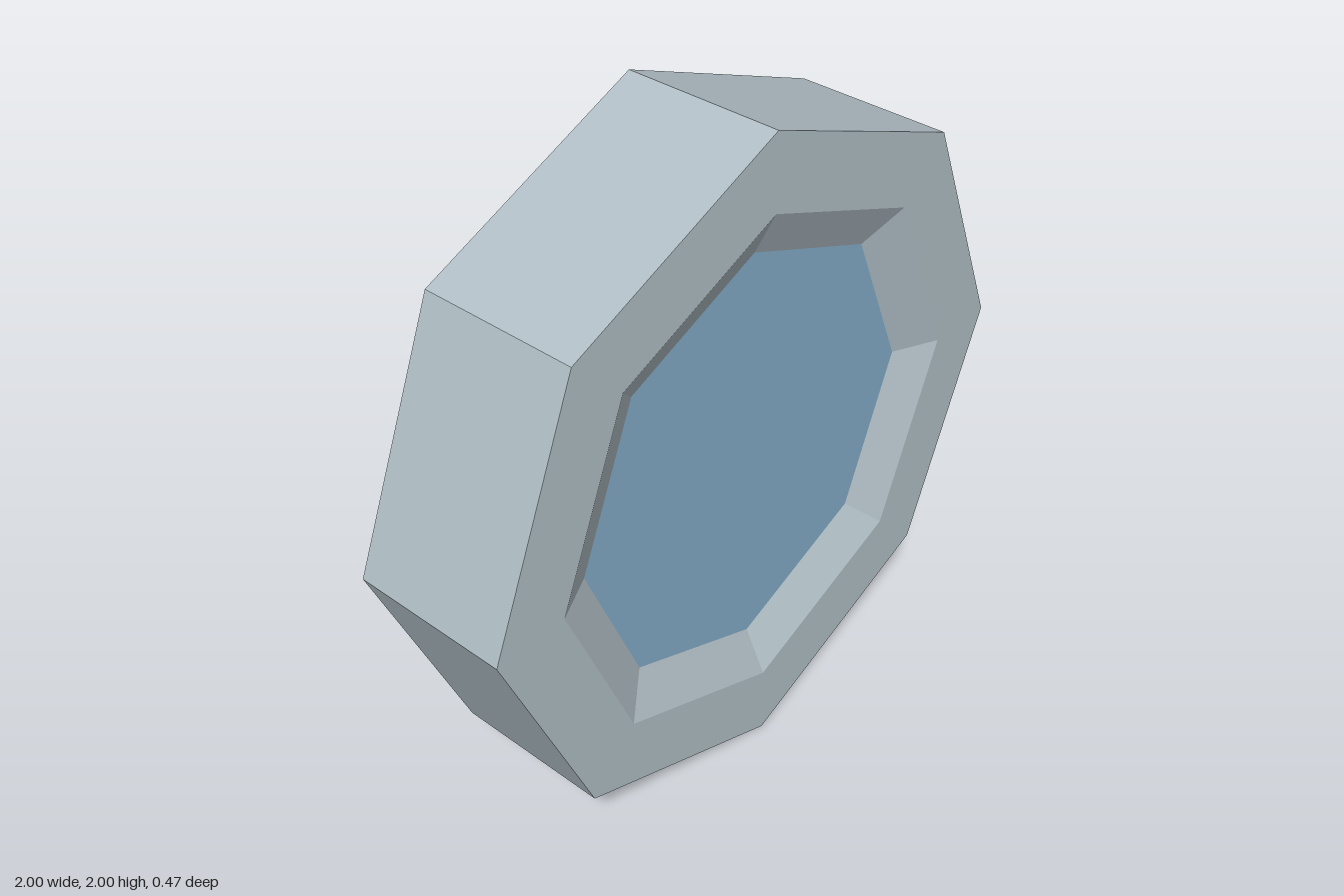
import * as THREE from 'three';

const SIDES = 8;
const HALF_DEPTH = 0.237; // frame half thickness
const GLASS_Z = 0.172;    // pane surface, recessed from the frame face
const OUTER = 1, RIM = 0.775, PANE = 0.64;

const frameGrey = new THREE.MeshStandardMaterial({ color: 0xb0bec5 });
frameGrey.name = 'frameGrey';
const glassBlue = new THREE.MeshStandardMaterial({ color: 0x83abc6 });
glassBlue.name = 'glassBlue';

// Turn a part built around y to face z, with one flat normal per facet
function facetedPart(name, geometry, material) {
  const flat = geometry.toNonIndexed().rotateX(Math.PI / 2);
  flat.computeVertexNormals();
  const mesh = new THREE.Mesh(flat, material);
  mesh.name = name;
  mesh.position.y = OUTER;
  return mesh;
}

export function createModel() {
  const model = new THREE.Group();
  model.name = 'octagonalWindow';

  // Octagonal frame: outer wall, flat faces and bevels sloping in to the pane
  const profile = [
    [PANE, -GLASS_Z], [RIM, -HALF_DEPTH], [OUTER, -HALF_DEPTH],
    [OUTER, HALF_DEPTH], [RIM, HALF_DEPTH], [PANE, GLASS_Z],
  ].map(([r, y]) => new THREE.Vector2(r, y));
  model.add(facetedPart('frame', new THREE.LatheGeometry(profile, SIDES), frameGrey));

  // Glass pane filling the opening, visible from both sides
  const pane = new THREE.CylinderGeometry(PANE, PANE, GLASS_Z * 2, SIDES);
  model.add(facetedPart('glassPane', pane, glassBlue));

  return model;
}
